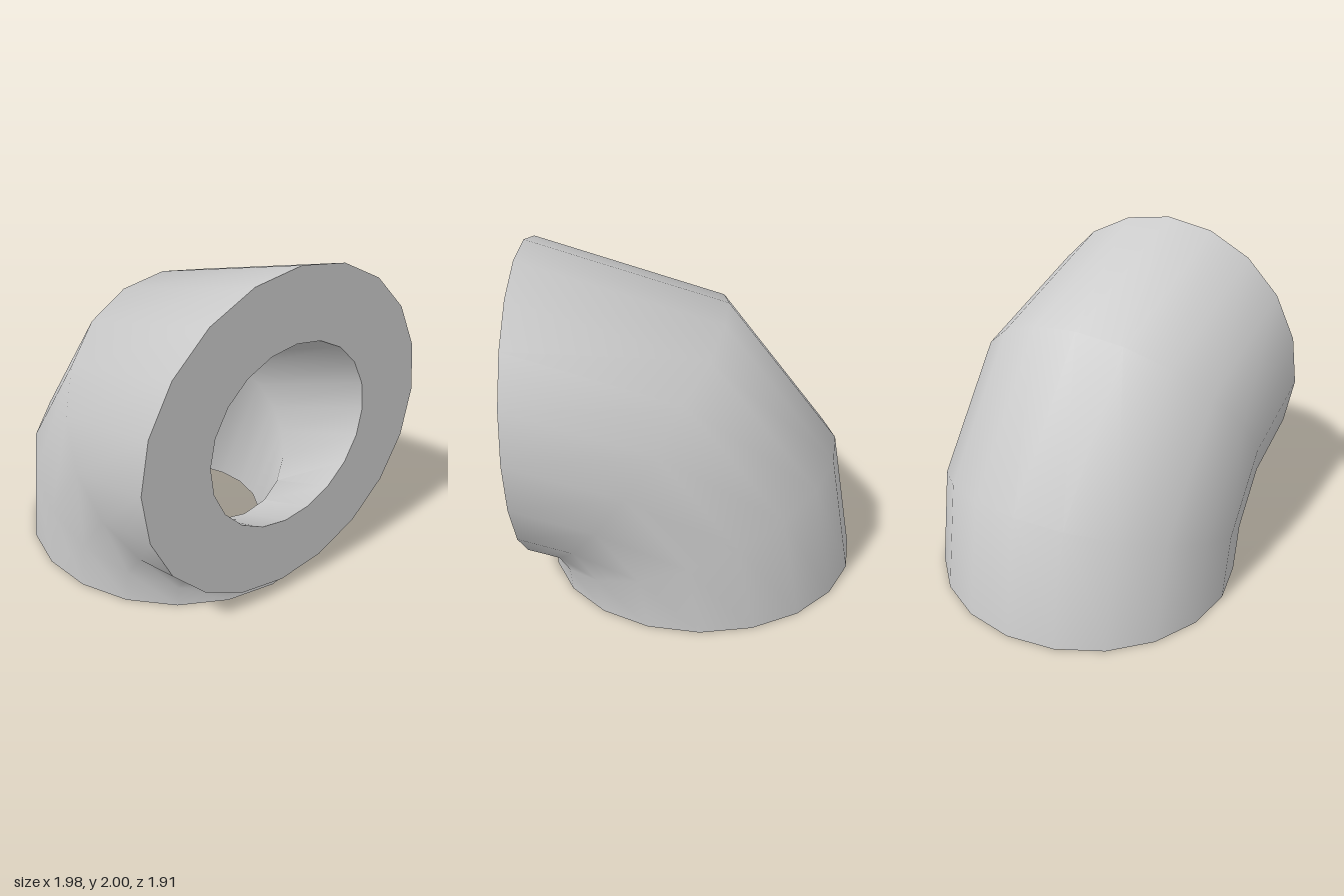
import * as THREE from 'three';
import { toCreasedNormals } from 'three/addons/utils/BufferGeometryUtils.js';

const SIDES = 20;
const OUTER = 0.955;
const BORE = 0.54;

// One tilted ring: centre x, centre y, tilt in degrees (0 = level), radius
function ring(x, y, tilt, r) {
  const a = THREE.MathUtils.degToRad(tilt);
  const points = [];
  for (let j = 0; j < SIDES; j++) {
    const t = (j / SIDES) * Math.PI * 2;
    const u = r * Math.cos(t);
    points.push(new THREE.Vector3(x - u * Math.cos(a), y + u * Math.sin(a), r * Math.sin(t)));
  }
  return points;
}

// Skin a closed chain of rings
function loft(rings) {
  const positions = rings.flat().flatMap((p) => [p.x, p.y, p.z]);
  const index = [];
  for (let i = 0; i < rings.length; i++) {
    const n = (i + 1) % rings.length;
    for (let j = 0; j < SIDES; j++) {
      const k = (j + 1) % SIDES;
      const a = i * SIDES + j, b = i * SIDES + k;
      const c = n * SIDES + j, d = n * SIDES + k;
      index.push(a, b, c, b, d, c);
    }
  }
  const geometry = new THREE.BufferGeometry();
  geometry.setAttribute('position', new THREE.Float32BufferAttribute(positions, 3));
  geometry.setIndex(index);
  return toCreasedNormals(geometry, THREE.MathUtils.degToRad(40));
}

export function createModel() {
  const group = new THREE.Group();
  group.name = 'pipeElbow';

  const geometry = loft([
    // outer wall, from the bottom mouth round to the side mouth
    ring(-0.038, 0, 0, OUTER),
    ring(0.025, 0.415, 21.3, OUTER),
    ring(0.36, 0.85, 54.8, OUTER),
    ring(0.99, 1.045, 90, OUTER),
    // bore, back down to the bottom mouth
    ring(0.99, 1.045, 90, BORE),
    ring(0.26, 0.73, 45, BORE),
    ring(-0.038, 0, 0, BORE),
  ]);

  const elbow = new THREE.Mesh(geometry, new THREE.MeshStandardMaterial({ color: 0xcccccc }));
  elbow.name = 'elbowBody';
  group.add(elbow);
  return group;
}
